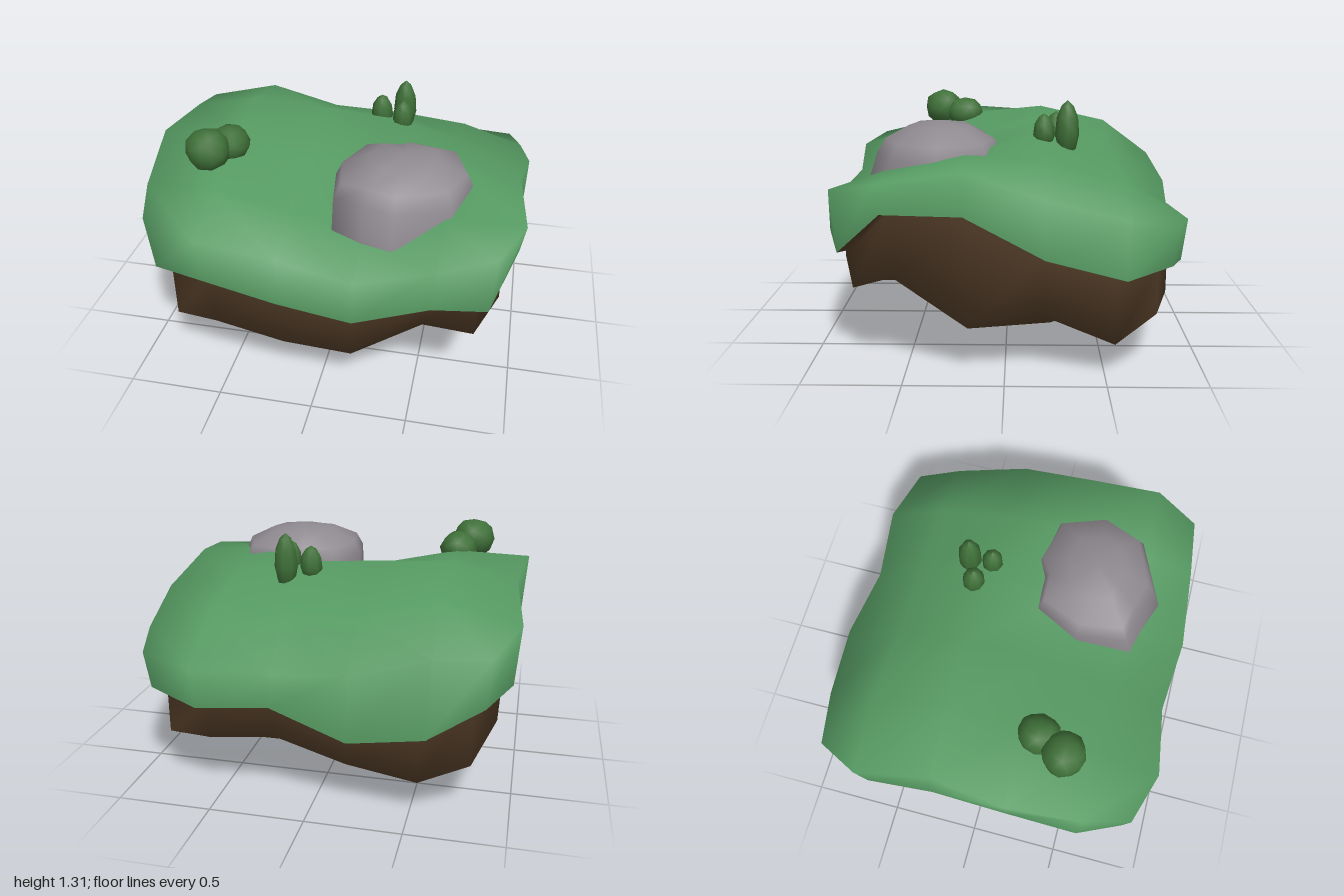
import * as THREE from 'three';
import { mergeVertices } from 'three/addons/utils/BufferGeometryUtils.js';

const N = 6;
const GX = [-1, -0.6, -0.2, 0.2, 0.6, 1];
const GZ = [-0.93, -0.6, -0.2, 0.2, 0.6, 0.93];

// Height grids: rows run back to front, columns run from -x to +x
const GRASS_TOP = [
  [0.88, 0.87, 0.77, 0.73, 0.74, 0.77],
  [0.98, 1.08, 0.98, 0.97, 0.93, 0.82],
  [1.1, 1.17, 1.15, 1.12, 1.03, 0.93],
  [1.12, 1.13, 1.04, 1.01, 1.08, 1.05],
  [1.01, 1.02, 0.93, 0.87, 0.99, 1.0],
  [0.96, 0.92, 0.83, 0.78, 0.87, 0.95],
];
const EARTH_BOTTOM = [
  [0.28, 0.2, 0.26, 0.37, 0.33, 0.3],
  [0.44, 0.25, 0.16, 0.2, 0.2, 0.18],
  [0.45, 0.25, 0.0, 0.13, 0.1, 0.33],
  [0.5, 0.26, 0.06, 0.16, 0.27, 0.26],
  [0.53, 0.28, 0.2, 0.22, 0.4, 0.52],
  [0.31, 0.36, 0.28, 0.26, 0.52, 0.43],
];
// Plan lines of the inner points of the underside
const UNDER_X = [0, -0.6, -0.26, 0.07, 0.42];
const UNDER_Z = [0, -0.54, -0.24, 0.27, 0.54];
// Lower grass edge, counterclockwise from the front -x corner
const LIP = [
  0.65, 0.67, 0.58, 0.52, 0.67, 0.63, 0.85, 0.84, 0.63, 0.53,
  0.57, 0.52, 0.56, 0.41, 0.47, 0.62, 0.66, 0.86, 0.79, 0.75,
];

const inner = (k) => k > 0 && k < N - 1;

// Grid cells around the edge, in the order of LIP
const RING = [];
for (let k = 0; k < N - 1; k++) RING.push([k, N - 1]);
for (let k = N - 1; k > 0; k--) RING.push([N - 1, k]);
for (let k = N - 1; k > 0; k--) RING.push([k, 0]);
for (let k = 0; k < N - 1; k++) RING.push([0, k]);
const RIM = RING.map(([i, j]) => j * N + i);

// Plan position of a grid point, with the four corners cut in
function plan(i, j, scale) {
  const corner = !inner(i) && !inner(j);
  return [GX[i] * scale * (corner ? 0.88 : 1), GZ[j] * scale * (corner ? 0.9 : 1)];
}

function build(pos, index) {
  const geo = new THREE.BufferGeometry();
  geo.setAttribute('position', new THREE.Float32BufferAttribute(pos, 3));
  geo.setIndex(index);
  geo.computeVertexNormals();
  return geo;
}

// Band of faces between two closed loops of vertex numbers, facing outward
function band(index, low, high) {
  low.forEach((p, k) => {
    const n = (k + 1) % low.length;
    index.push(p, low[n], high[n], p, high[n], high[k]);
  });
}

// Faces of a height grid stored from vertex 0
function gridFaces(index, up) {
  for (let j = 0; j < N - 1; j++) for (let i = 0; i < N - 1; i++) {
    const p = j * N + i, q = p + N, r = q + 1, s = p + 1;
    if (up) index.push(p, q, r, p, r, s);
    else index.push(p, r, q, p, s, r);
  }
}

// Adds a loop at the height of the grass lip and returns its vertex numbers
function lipLoop(pos, scale) {
  return RING.map(([i, j], k) => {
    const [x, z] = plan(i, j, scale);
    pos.push(x, LIP[k], z);
    return pos.length / 3 - 1;
  });
}

// Rolling turf whose rim waves in and out, with a hanging side wall
function turf() {
  const pos = [], index = [];
  for (let j = 0; j < N; j++) for (let i = 0; i < N; i++) {
    const edge = inner(i) !== inner(j);
    const dent = edge && ((i + j) % 2 === 1) === inner(i);
    const [x, z] = plan(i, j, dent ? 0.95 : 1);
    pos.push(inner(i) ? GX[i] : x, GRASS_TOP[j][i], inner(j) ? GZ[j] : z);
  }
  gridFaces(index, true);
  band(index, lipLoop(pos, 0.975), RIM);
  return build(pos, index);
}

// Earth: ledge under the turf, side wall and uneven underside
function soil() {
  const pos = [], index = [];
  for (let j = 0; j < N; j++) for (let i = 0; i < N; i++) {
    const [x, z] = inner(i) && inner(j) ? [UNDER_X[i], UNDER_Z[j]] : plan(i, j, 0.905);
    pos.push(x, EARTH_BOTTOM[j][i], z);
  }
  gridFaces(index, false);
  const wall = lipLoop(pos, 0.905), ledge = lipLoop(pos, 0.975);
  band(index, RIM, wall);
  band(index, wall, ledge);
  return build(pos, index);
}

// Boulder: one uneven outline repeated upward, its front leaning back under a low crown
function boulderShape() {
  const outline = [
    [0, 0.38], [0.27, 0.25], [0.36, -0.02], [0.27, -0.27], [0.01, -0.33],
    [-0.08, -0.27], [-0.26, -0.26], [-0.36, -0.02], [-0.32, 0.28], [-0.16, 0.32],
  ];
  // Overall scale, extra scale of the front half, height
  const levels = [
    [0.96, 1.04, 0.78], [1, 1, 0.88], [1, 0.86, 1.04], [0.9, 0.82, 1.115], [0.5, 0.8, 1.185],
  ];
  const pos = [], index = [], n = outline.length;
  for (const [s, front, y] of levels) {
    for (const [x, z] of outline) pos.push(x * s, y, z * s * (z > 0 ? front : 1));
  }
  pos.push(0, 1.21, 0);
  const loop = (l) => outline.map((_, k) => l * n + k);
  for (let l = 0; l < levels.length - 1; l++) band(index, loop(l), loop(l + 1));
  const crown = loop(levels.length - 1);
  crown.forEach((p, k) => index.push(p, crown[(k + 1) % n], levels.length * n));
  return build(pos, index);
}

// Bush: ball with a gently uneven surface
function bushShape(rx, ry, rz, seed) {
  let geo = new THREE.IcosahedronGeometry(1, 1);
  geo.deleteAttribute('normal');
  geo.deleteAttribute('uv');
  geo = mergeVertices(geo, 1e-3);
  const p = geo.attributes.position;
  for (let k = 0; k < p.count; k++) {
    const s = 1 + 0.04 * Math.sin(k * 2.4 + seed);
    p.setXYZ(k, p.getX(k) * rx * s, p.getY(k) * ry * s, p.getZ(k) * rz * s);
  }
  geo.computeVertexNormals();
  return geo;
}

export function createModel() {
  const model = new THREE.Group();
  const material = (color) => new THREE.MeshStandardMaterial({ color });
  const leaf = material(0x3f7038);
  const add = (name, geo, mat, x = 0, y = 0, z = 0) => {
    const mesh = new THREE.Mesh(geo, mat);
    mesh.name = name;
    mesh.position.set(x, y, z);
    model.add(mesh);
  };

  add('grassTop', turf(), material(0x569a62));
  add('earthBase', soil(), material(0x58412b));
  add('boulder', boulderShape(), material(0x8f8a90), 0.36, 0, 0.36);
  add('largeBush', bushShape(0.12, 0.115, 0.115, 2), leaf, -0.67, 1.155, 0.425);
  add('smallBush', bushShape(0.105, 0.1, 0.115, 4), leaf, -0.595, 1.125, 0.28);

  // Pointed shrubs: x, z, radius, base, height
  const shrubs = [
    [0.265, -0.325, 0.065, 1.0, 0.305],
    [0.14, -0.27, 0.062, 1.03, 0.2],
    [0.27, -0.2, 0.058, 1.04, 0.195],
  ];
  for (const [x, z, r, y, h] of shrubs) {
    const profile = [[0, 0], [0.7, 0.1], [1, 0.4], [0.88, 0.7], [0.5, 0.9], [0, 1]]
      .map(([a, b]) => new THREE.Vector2(a * r, b * h));
    add('pointedShrub', new THREE.LatheGeometry(profile, 8), leaf, x, y, z);
  }
  return model;
}
